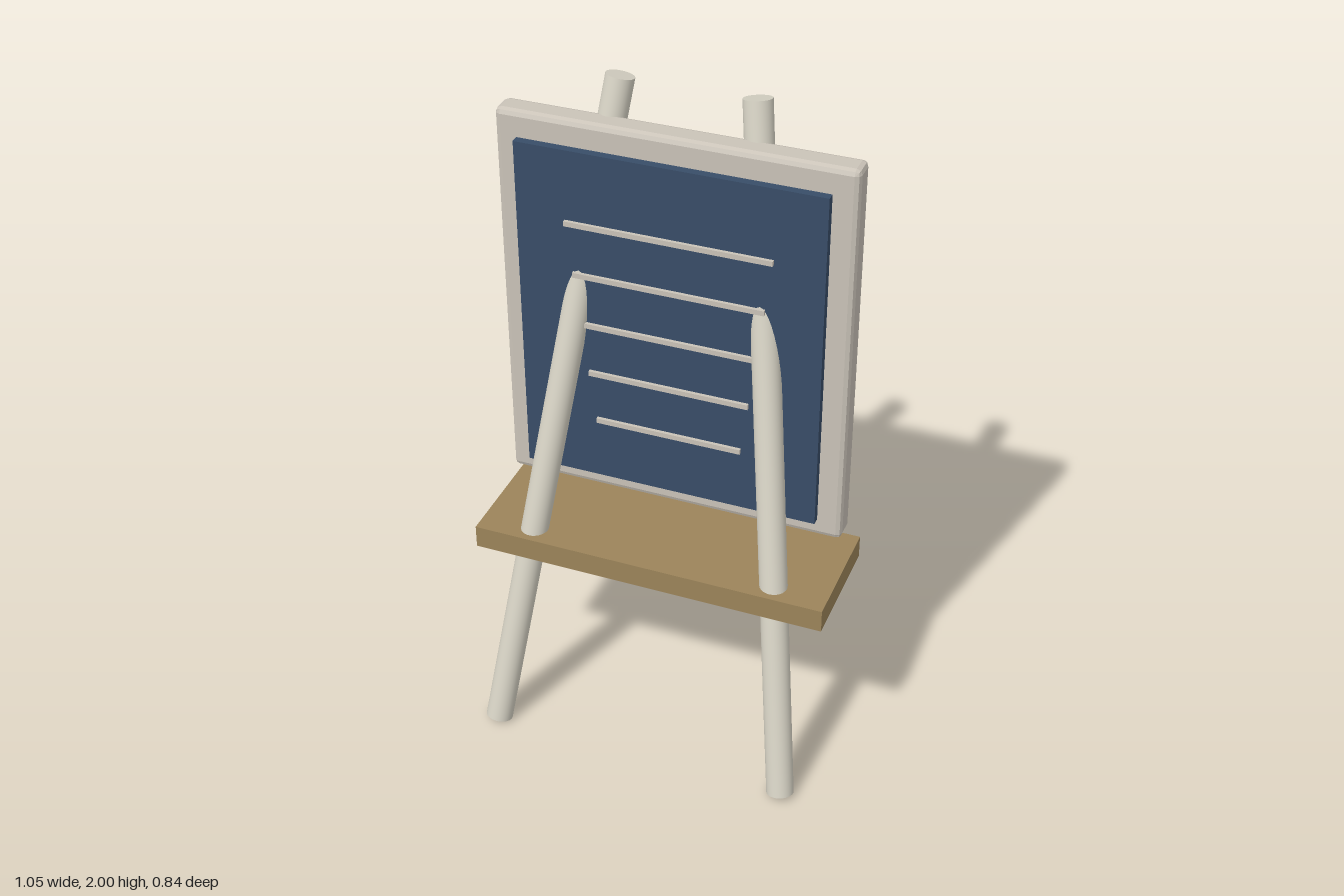
import * as THREE from 'three';
import { RoundedBoxGeometry } from 'three/addons/geometries/RoundedBoxGeometry.js';

const paint = (color, flatShading = false) => {
  const m = new THREE.MeshStandardMaterial({ color });
  m.flatShading = flatShading;
  return m;
};

export function createModel() {
  const easel = new THREE.Group();
  easel.name = 'easel';
  const cream = paint(0xd6d2c4);
  const frameGrey = paint(0xcac3b8, true);
  const blue = paint(0x384d68);
  const wood = paint(0x9c845a);

  const add = (name, geometry, material, x, y, z) => {
    const mesh = new THREE.Mesh(geometry, material);
    mesh.name = name;
    mesh.position.set(x, y, z);
    easel.add(mesh);
    return mesh;
  };

  // Round pole running between two points
  const pole = (name, bottom, top) => {
    const a = new THREE.Vector3(...bottom);
    const b = new THREE.Vector3(...top);
    const axis = b.clone().sub(a);
    const mid = a.clone().add(b).multiplyScalar(0.5);
    const mesh = add(name, new THREE.CylinderGeometry(0.04, 0.04, axis.length(), 32), cream, mid.x, mid.y, mid.z);
    mesh.quaternion.setFromUnitVectors(new THREE.Vector3(0, 1, 0), axis.normalize());
  };

  // Two splayed front legs and the rear prop
  for (const [name, s] of [['leftLeg', 1], ['rightLeg', -1]]) {
    pole(name, [s * 0.45, 0.01, 0.383], [s * 0.19, 1.99, -0.038]);
  }
  pole('backLeg', [0, 0.01, -0.383], [0, 1.733, -0.041]);

  // Board with chamfered edges
  add('board', new RoundedBoxGeometry(1.01, 1.165, 0.08, 1, 0.016), frameGrey, 0, 1.3125, 0.04);

  // Writing panel held just in front of the board
  add('panel', new THREE.BoxGeometry(0.874, 1.03, 0.024), blue, 0, 1.31, 0.102);

  // Ruled lines, shorter towards the bottom
  for (let i = 0; i < 5; i++) {
    add('ruledLine', new THREE.BoxGeometry(0.59 - 0.04 * i, 0.015, 0.012), frameGrey, 0, 1.61 - 0.155 * i, 0.118);
  }

  // Shelf pierced by the front legs
  add('shelf', new THREE.BoxGeometry(1.054, 0.07, 0.357), wood, 0, 0.619, 0.128);

  return easel;
}
